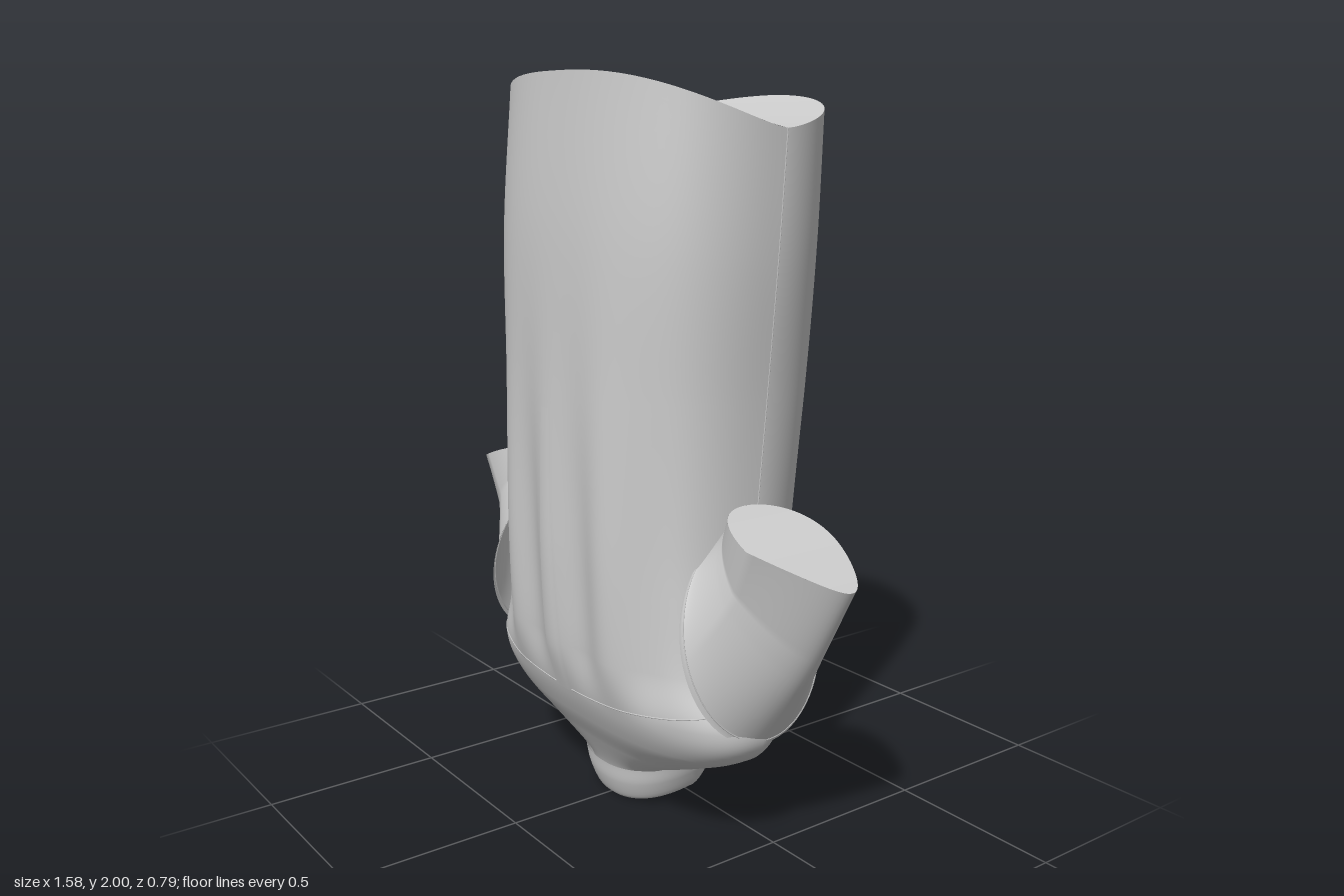
import * as THREE from 'three';
import { ParametricGeometry } from 'three/addons/geometries/ParametricGeometry.js';

const { sin, cos, abs, PI, min, max, exp, sign } = Math;
const V = (x, y, z) => new THREE.Vector3(x, y, z);
const lerp = THREE.MathUtils.lerp;

// Rows of rings: half width, front z, back z, then y at the front, back and sides.
// The powers set how square the front and back halves of each ring are.
const loft = (rows, frontPower = 2, backPower = 2) => {
  const size = new THREE.CatmullRomCurve3(rows.map((r) => V(r[0], r[1], r[2])), false, 'catmullrom');
  const height = new THREE.CatmullRomCurve3(rows.map((r) => V(r[3], r[4], r[5])), false, 'catmullrom');
  return (a, t) => {
    const s = size.getPoint(t), h = height.getPoint(t);
    const e = 2 / (sin(a) > 0 ? frontPower : backPower);
    const n = sign(sin(a)) * abs(sin(a)) ** e;
    const x = s.x * sign(cos(a)) * abs(cos(a)) ** e;
    const z = (s.y + s.z) / 2 + (n * (s.y - s.z)) / 2;
    const y = h.z + ((n > 0 ? h.x : h.y) - h.z) * abs(n) ** 1.3;
    return { p: V(x, y, z), w: s.x };
  };
};

const FRONT = 2.6, BACK = 1.9;
const torso = loft([
  [0.472, 0.33, -0.385, 2.0, 1.95, 1.86],
  [0.47, 0.365, -0.378, 1.6, 1.6, 1.54],
  [0.452, 0.375, -0.36, 1.2, 1.2, 1.19],
  [0.448, 0.375, -0.315, 0.9, 0.9, 0.9],
  [0.455, 0.37, -0.275, 0.7, 0.7, 0.7],
  [0.48, 0.357, -0.228, 0.5, 0.5, 0.5],
  [0.54, 0.333, -0.185, 0.37, 0.39, 0.36],
  [0.505, 0.293, -0.155, 0.27, 0.33, 0.27],
  [0.37, 0.243, -0.14, 0.185, 0.28, 0.2],
  [0.2, 0.2, -0.13, 0.105, 0.235, 0.135],
  [0.172, 0.18, -0.125, 0.05, 0.205, 0.085],
], FRONT, BACK);

// Torso surface with soft cloth folds that fade towards hem and yoke
const bodyPoint = (a, t) => {
  const { p, w } = torso(a, t);
  const n = sin(a);
  const fade = exp(-(((p.y - 0.7) / 0.48) ** 2)) * THREE.MathUtils.smoothstep(p.y, 0.34, 0.5);
  if (n > 0) p.z += 0.015 * n * fade * cos((2 * PI * p.x) / 0.23);
  else p.z += 0.014 * -n * fade * sin(abs(p.x) * 24 - p.y * 5) * min(1, abs(p.x) * 6);
  return { p, w };
};

// Point on the front (side 1) or back (side -1) of the torso at a given x and y
const onBody = (x, y, side, lift = 0) => {
  let lo = 0, hi = 1, p;
  const power = (side > 0 ? FRONT : BACK) / 2;
  for (let i = 0; i < 24; i++) {
    const t = (lo + hi) / 2;
    const k = min(1, abs(x) / torso(0, t).w) ** power;
    p = bodyPoint(side * Math.acos(sign(x) * k), t).p;
    if (p.y > y) lo = t; else hi = t;
  }
  p.z += side * lift;
  return p;
};

export function createModel() {
  const group = new THREE.Group();
  const cloth = new THREE.MeshStandardMaterial({ color: 0xcccccc, side: THREE.DoubleSide });
  const add = (name, geometry) => {
    const mesh = new THREE.Mesh(geometry, cloth);
    mesh.name = name;
    group.add(mesh);
    return mesh;
  };
  const sheet = (name, fn, nu, nv) =>
    add(name, new ParametricGeometry((u, v, target) => target.copy(fn(u, v)), nu, nv));
  const seam = (name, points, closed = false) =>
    add(name, new THREE.TubeGeometry(new THREE.CatmullRomCurve3(points, closed), 80, 0.002, 5, closed));

  // Torso, hem at the top and neck at the bottom
  sheet('torso', (u, v) => bodyPoint(u * 2 * PI, v).p, 160, 100);

  // Saddle-shaped surface closing the hem, ruled from side to side
  sheet('hemClosure', (u, v) => {
    const a = lerp(-PI / 2 + 0.01, PI / 2 - 0.01, v);
    return bodyPoint(PI - a, 0).p.lerp(bodyPoint(a, 0).p, u);
  }, 4, 40);

  // Sleeves: inner and outer edge of each ring, then z centre and half depth
  for (const s of [1, -1]) {
    const side = s > 0 ? 'left' : 'right';
    const inner = new THREE.CatmullRomCurve3([V(0.4, 0.85, 0), V(0.43, 0.89, 0), V(0.455, 0.935, 0)]);
    const outer = new THREE.CatmullRomCurve3([V(0.53, 0.315, 0), V(0.655, 0.52, 0), V(0.792, 0.785, 0)]);
    const sleevePoint = (a, v) => {
      const k = (1 + cos(a)) / 2;
      const p = inner.getPoint(v).lerp(outer.getPoint(v), k);
      const tip = max(0, cos(a));
      const depth = lerp(0.23, 0.135, min(1, v * 1.6) ** 0.75);
      p.z = lerp(0.055, 0.078, v) - 0.055 * v * tip + depth * sin(a) * (1 - 0.4 * v * tip);
      p.y += 0.02 * v * sin(a) ** 2;
      p.x *= s;
      return p;
    };
    sheet(side + 'Sleeve', (u, v) => sleevePoint(-s * u * 2 * PI, v), 64, 24);
    sheet(side + 'CuffClosure', (u, v) => {
      const a = lerp(0.01, PI - 0.01, v);
      return sleevePoint(a, 1).lerp(sleevePoint(-a, 1), s > 0 ? u : 1 - u);
    }, 4, 24);
    const ring = Array.from({ length: 32 }, (_, i) => sleevePoint((i / 32) * 2 * PI, 0.03));
    seam(side + 'ArmholeSeam', ring, true);
    // Side seam
    seam(side + 'SideSeam', Array.from({ length: 20 }, (_, i) =>
      bodyPoint(s > 0 ? 0 : PI, (i / 19) * 0.35).p));
  }

  // Yoke seam and centre box pleat
  seam('yokeSeam', Array.from({ length: 41 }, (_, i) => {
    const x = lerp(-0.5, 0.5, i / 40);
    return onBody(x, 0.36 + 0.2 * x ** 2, 1);
  }));
  sheet('boxPleat', (u, v) => {
    const lift = u < 0.05 || u > 0.95 ? -0.002 : 0.009 * (1 - v);
    return onBody(lerp(-0.034, 0.034, u) * lerp(1, 0.6, v), lerp(0.36, 1.15, v), 1, lift);
  }, 24, 30);

  // Button placket with raised edges, and its buttons
  sheet('placket', (u, v) => {
    const edge = u < 0.05 || u > 0.95;
    return onBody(lerp(-0.04, 0.04, u), lerp(0.24, 1.945, v), -1, edge ? -0.002 : 0.009);
  }, 24, 50);
  for (let i = 0; i < 6; i++) {
    const button = add('button', new THREE.CylinderGeometry(0.012, 0.012, 0.01, 16));
    button.position.copy(onBody(0, 1.68 - i * 0.268, -1, 0.011));
    button.rotation.x = PI / 2 + (i > 2 ? 0.2 : 0.04);
  }

  // Turned-down collar, open at the placket, with pointed ends
  const leaf = loft([
    [0.21, 0.212, -0.138, 0.105, 0.235, 0.14],
    [0.198, 0.205, -0.143, 0.055, 0.215, 0.095],
    [0.176, 0.185, -0.142, 0.005, 0.185, 0.045],
    [0.158, 0.168, -0.122, 0.012, 0.19, 0.055],
    [0.165, 0.17, -0.115, 0.09, 0.225, 0.12],
  ], 2.2, 2);
  sheet('collar', (u, v) => {
    const gap = 0.2 * (1 - min(1, v * 2));
    const a = lerp(-PI / 2 + gap, 1.5 * PI - gap, u);
    const p = leaf(a, v).p;
    const end = max(0, abs(u - 0.5) * 2 - 0.78) / 0.22;
    const out = max(0, 1 - v * 2) * end;
    p.y += 0.035 * out;
    p.z -= 0.012 * out;
    p.x += 0.02 * out * sign(p.x);
    return p;
  }, 80, 20);

  // Button on the collar stand
  const collarButton = add('collarButton', new THREE.CylinderGeometry(0.012, 0.012, 0.01, 16));
  collarButton.position.set(0, 0.225, -0.146);
  collarButton.rotation.x = PI / 2 + 0.3;

  return group;
}
